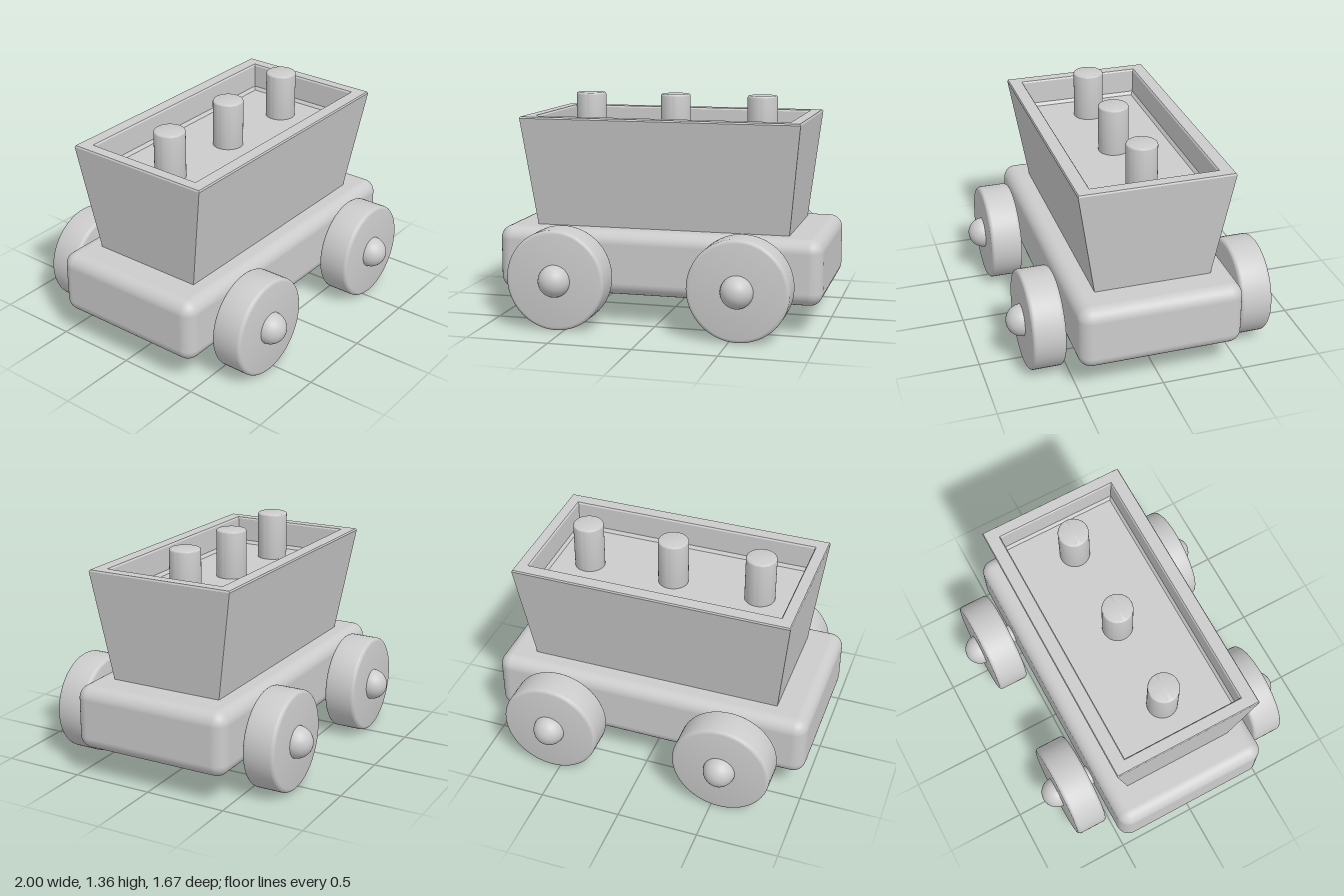
import * as THREE from 'three';
import { RoundedBoxGeometry } from 'three/addons/geometries/RoundedBoxGeometry.js';
import { toCreasedNormals } from 'three/addons/utils/BufferGeometryUtils.js';

const material = new THREE.MeshStandardMaterial({ color: 0xcccccc });

function addMesh(parent, name, geometry, x = 0, y = 0, z = 0) {
  const mesh = new THREE.Mesh(geometry, material);
  mesh.name = name;
  mesh.position.set(x, y, z);
  parent.add(mesh);
  return mesh;
}

// Solid cylinder along y with softened rims
function softCylinder(radius, height, bevel) {
  const h = height / 2;
  const points = [new THREE.Vector2(0, -h)];
  for (let i = 0; i <= 4; i++) {
    const a = (i / 4) * Math.PI / 2;
    points.push(new THREE.Vector2(radius - bevel + bevel * Math.sin(a), -h + bevel - bevel * Math.cos(a)));
  }
  for (let i = 0; i <= 4; i++) {
    const a = (i / 4) * Math.PI / 2;
    points.push(new THREE.Vector2(radius - bevel + bevel * Math.cos(a), h - bevel + bevel * Math.sin(a)));
  }
  points.push(new THREE.Vector2(0, h));
  return toCreasedNormals(new THREE.LatheGeometry(points, 64), 0.6);
}

// Skin over stacked rectangles [halfX, y, halfZ], from the underside round the rim to the inner floor
function rectangleLoft(sections) {
  const positions = [];
  const index = [];
  const corners = [[-1, 1], [1, 1], [1, -1], [-1, -1]];
  for (const [hx, y, hz] of sections) {
    for (const [sx, sz] of corners) positions.push(sx * hx, y, sz * hz);
  }
  for (let s = 0; s < sections.length - 1; s++) {
    for (let c = 0; c < 4; c++) {
      const a = s * 4 + c, b = s * 4 + (c + 1) % 4;
      index.push(a, b, b + 4, a, b + 4, a + 4);
    }
  }
  const last = (sections.length - 1) * 4;
  index.push(0, 2, 1, 0, 3, 2, last, last + 1, last + 2, last, last + 2, last + 3);
  const geometry = new THREE.BufferGeometry();
  geometry.setAttribute('position', new THREE.Float32BufferAttribute(positions, 3));
  geometry.setIndex(index);
  return toCreasedNormals(geometry, 0.5);
}

export function createModel() {
  const wagon = new THREE.Group();
  wagon.name = 'toyWagon';

  // Rounded base block
  addMesh(wagon, 'chassis', new RoundedBoxGeometry(2, 0.395, 1, 5, 0.08), 0, 0.3725, 0);

  // Flared tub with a shallow recess
  addMesh(wagon, 'tub', rectangleLoft([
    [0.785, 0.56, 0.355],
    [0.858, 1.235, 0.465],
    [0.853, 1.245, 0.46],
    [0.788, 1.245, 0.384],
    [0.781, 1.235, 0.377],
    [0.78, 1.09, 0.375],
    [0.765, 1.07, 0.36],
  ]));

  // Three pegs standing on the recess floor
  const pegGeometry = softCylinder(0.093, 0.315, 0.012);
  for (const x of [-0.55, 0, 0.55]) addMesh(wagon, 'peg', pegGeometry, x, 1.2075, 0);

  // Axles, wheels and domed hubs
  const axleGeometry = new THREE.CylinderGeometry(0.062, 0.062, 1.4, 32);
  const wheelGeometry = softCylinder(0.303, 0.2, 0.022);
  const hubGeometry = new THREE.SphereGeometry(0.097, 32, 20);
  for (const x of [-0.55, 0.55]) {
    const wheelSet = new THREE.Group();
    wheelSet.name = 'wheelSet';
    wheelSet.position.set(x, 0.306, 0);
    wagon.add(wheelSet);
    addMesh(wheelSet, 'axle', axleGeometry).rotation.x = Math.PI / 2;
    for (const side of [-1, 1]) {
      addMesh(wheelSet, 'wheel', wheelGeometry, 0, 0, side * 0.64).rotation.x = Math.PI / 2;
      addMesh(wheelSet, 'hub', hubGeometry, 0, 0, side * 0.738);
    }
  }
  return wagon;
}
